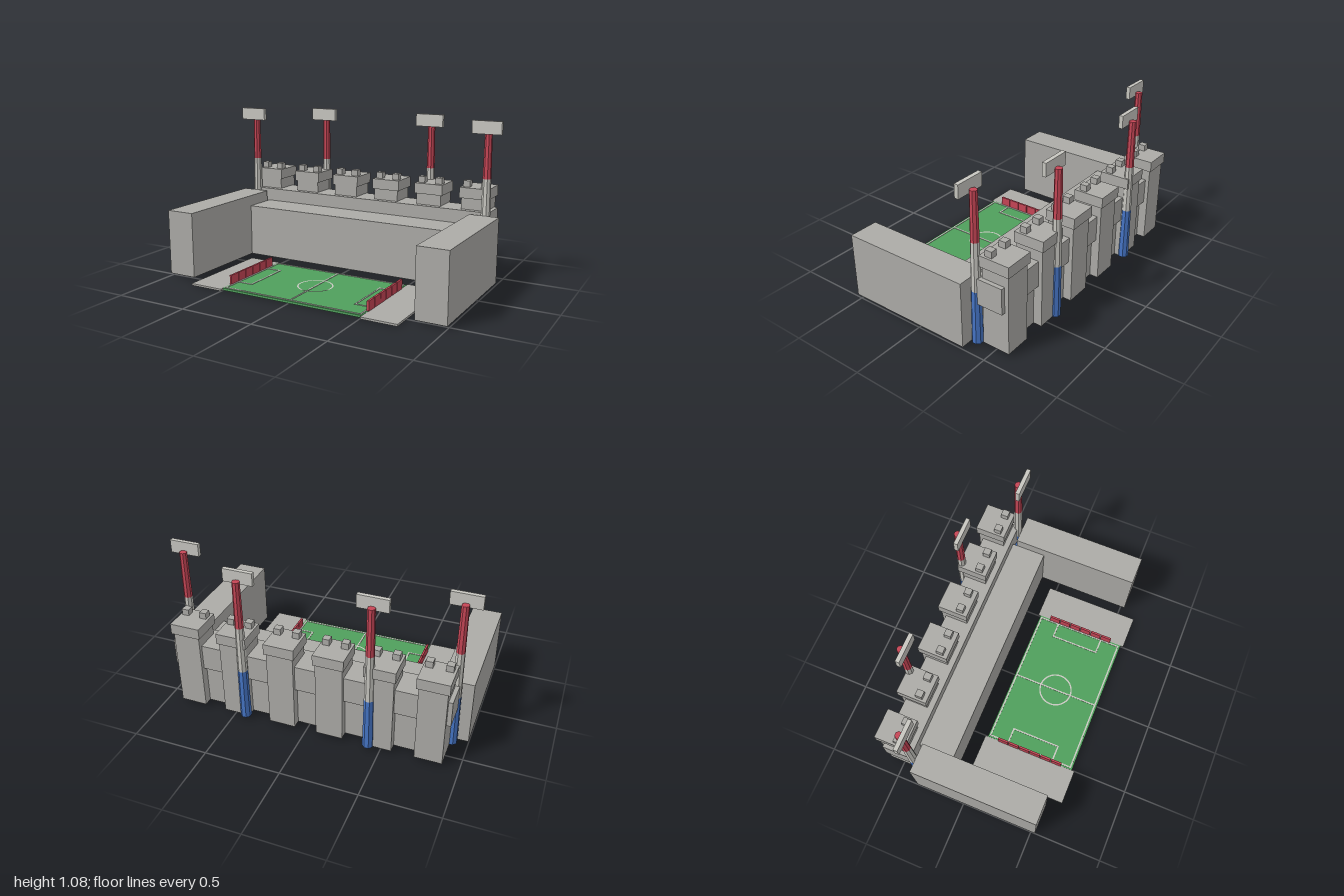
import * as THREE from 'three';

const mat = (name, color) => {
  const m = new THREE.MeshStandardMaterial({ color });
  m.name = name;
  return m;
};

export function createModel() {
  const root = new THREE.Group();
  root.name = 'stadium';
  const concrete = mat('concrete grey', 0xacaba7);
  const pale = mat('pale grey', 0xc8c7c1);
  const green = mat('grass green', 0x50a05c);
  const red = mat('red', 0xc64656);
  const blue = mat('blue', 0x4675c6);

  // Box given by its minimum and maximum along each axis
  const box = (name, m, x0, x1, y0, y1, z0, z1, parent = root) => {
    const mesh = new THREE.Mesh(new THREE.BoxGeometry(x1 - x0, y1 - y0, z1 - z0), m);
    mesh.position.set((x0 + x1) / 2, (y0 + y1) / 2, (z0 + z1) / 2);
    mesh.name = name;
    parent.add(mesh);
    return mesh;
  };
  const group = (name) => {
    const g = new THREE.Group();
    g.name = name;
    root.add(g);
    return g;
  };
  const base = 0.017;

  // Stands: two side wings, the main stand and the raised gallery behind it
  for (const s of [-1, 1]) {
    box(s > 0 ? 'leftStand' : 'rightStand', concrete,
      s * 0.9 - 0.1, s * 0.9 + 0.1, base, 0.456, -0.345, 0.53);
  }
  box('mainStand', concrete, -0.8, 0.8, base, 0.38, -0.375, -0.135);
  box('rearWall', concrete, -0.8, 0.8, base, 0.38, -0.54, -0.375);
  box('gallery', concrete, -0.92, 0.92, 0.297, 0.47, -0.572, -0.375);

  // Six rear towers with caps and paired blocks on top
  for (let i = 0; i < 6; i++) {
    const x = (i - 2.5) * 0.322;
    const tower = group('tower');
    box('towerBody', concrete, x - 0.088, x + 0.088, base, 0.546, -0.598, -0.414, tower);
    box('towerCap', concrete, x - 0.1, x + 0.1, 0.546, 0.618, -0.61, -0.404, tower);
    for (const s of [-1, 1]) {
      const bx = x + s * 0.062;
      box('towerBlock', concrete, bx - 0.023, bx + 0.023, 0.618, 0.66, -0.482, -0.434, tower);
    }
  }

  // Floodlight masts in three coloured sections, each with a lamp panel
  const mastBottom = base, mastTop = 1.016;
  const radiusAt = (y) => 0.036 - 0.012 * (y - mastBottom) / (mastTop - mastBottom);
  const sections = [['mastBase', blue, mastBottom, 0.376], ['mastMiddle', pale, 0.376, 0.697],
    ['mastTop', red, 0.697, mastTop]];
  for (const [x, z] of [[-0.9, -0.376], [0.9, -0.376], [-0.42, -0.594], [0.42, -0.594]]) {
    const mast = group('floodlight');
    for (const [name, m, y0, y1] of sections) {
      const geo = new THREE.CylinderGeometry(radiusAt(y1), radiusAt(y0), y1 - y0, 8).toNonIndexed();
      geo.rotateY(Math.PI / 8);
      geo.computeVertexNormals();
      const mesh = new THREE.Mesh(geo, m);
      mesh.position.set(x, (y0 + y1) / 2, z);
      mesh.name = name;
      mast.add(mesh);
    }
    box('lampPanel', pale, x - 0.098, x + 0.098, 0.99, 1.075, z + 0.02, z + 0.047, mast);
  }

  // Pitch with paved ends
  const cz = 0.287, grass = 0.015;
  box('pitch', green, -0.502, 0.502, 0, grass, -0.03, 0.607);
  for (const s of [-1, 1]) {
    box('paving', concrete, s * 0.621 - 0.119, s * 0.621 + 0.119, 0, 0.013, -0.048, 0.627);
  }

  // Pitch markings
  const marks = group('markings');
  const w = 0.005;
  const line = (x0, x1, z0, z1) =>
    box('line', pale, x0 - w, x1 + w, grass, grass + 0.003, z0 - w, z1 + w, marks);
  for (const z of [-0.016, 0.59]) line(-0.487, 0.487, z, z);
  for (const x of [-0.487, 0, 0.487]) line(x, x, -0.016, 0.59);
  for (const s of [-1, 1]) {
    line(s * 0.382, s * 0.382, 0.12, 0.456);
    for (const z of [0.12, 0.456]) line(s * 0.4345 - 0.0525, s * 0.4345 + 0.0525, z, z);
  }
  const circle = new THREE.Mesh(new THREE.RingGeometry(0.108, 0.118, 40), pale);
  circle.rotation.x = -Math.PI / 2;
  circle.position.set(0, grass + 0.003, cz);
  circle.name = 'centreCircle';
  marks.add(circle);

  // Red barriers at both ends, six panels each
  for (const s of [-1, 1]) {
    const fence = group('barrier');
    for (let i = 0; i < 6; i++) {
      const z = cz + (i - 2.5) * 0.08;
      box('barrierPanel', red, s * 0.5 - 0.007, s * 0.5 + 0.007, 0.013, 0.077, z - 0.037, z + 0.037, fence);
    }
  }
  return root;
}
